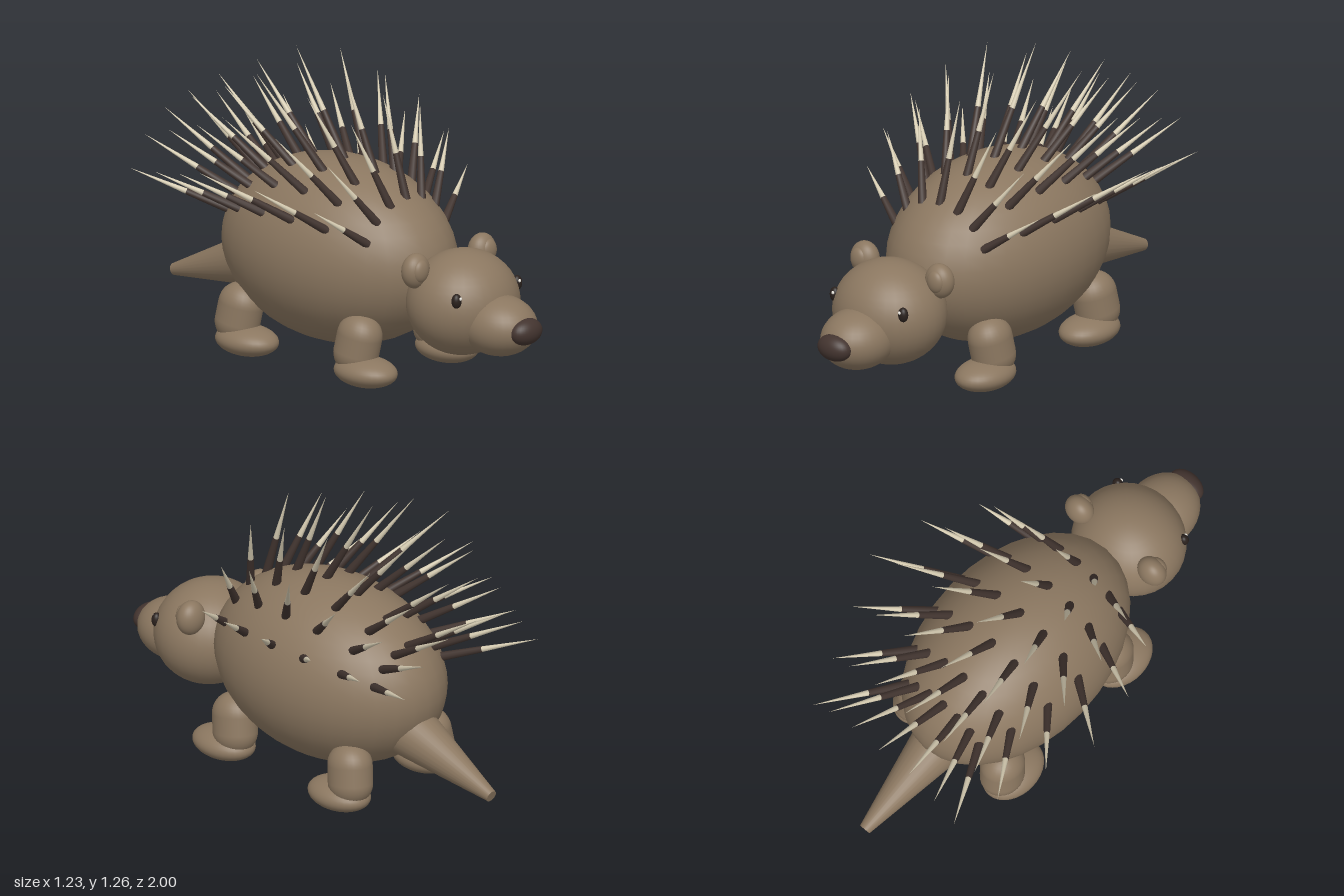
import * as THREE from 'three';

const rad = THREE.MathUtils.degToRad;

export function createModel() {
  const model = new THREE.Group();
  model.name = 'porcupine';

  const mat = (name, color) => {
    const m = new THREE.MeshStandardMaterial({ color });
    m.name = name;
    return m;
  };
  const fur = mat('brown fur', 0x8b7760);
  const dark = mat('dark quill base', 0x41342f);
  const pale = mat('pale quill tip', 0xd6ccb2);
  const noseMat = mat('nose', 0x43342f);
  const eyeMat = mat('eye', 0x2a211d);
  const glint = mat('eye glint', 0xf4f0e8);

  const add = (name, geometry, material, pos, parent = model) => {
    const mesh = new THREE.Mesh(geometry, material);
    mesh.name = name;
    mesh.position.set(...pos);
    parent.add(mesh);
    return mesh;
  };
  const ball = (name, material, pos, radii, parent) => {
    const mesh = add(name, new THREE.SphereGeometry(1, 32, 22), material, pos, parent);
    mesh.scale.set(...radii);
    return mesh;
  };

  // Body, head and muzzle
  const C = { y: 0.465, z: -0.08 };
  const R = { x: 0.37, y: 0.385, z: 0.555 };
  ball('body', fur, [0, C.y, C.z], [R.x, R.y, R.z]);
  ball('head', fur, [0, 0.375, 0.6], [0.24, 0.217, 0.225]);
  ball('snout', fur, [0, 0.315, 0.795], [0.146, 0.125, 0.17]);
  ball('nose', noseMat, [0, 0.317, 0.945], [0.08, 0.055, 0.053]);

  // Tail: blunt cone sloping down and back
  const tailRoot = new THREE.Vector3(0, 0.325, -0.53);
  const tailEnd = new THREE.Vector3(0, 0.185, -0.99);
  const tailDir = tailEnd.clone().sub(tailRoot);
  const tail = add('tail', new THREE.CylinderGeometry(0.025, 0.115, tailDir.length(), 28), fur,
    tailRoot.clone().add(tailEnd).multiplyScalar(0.5).toArray());
  tail.quaternion.setFromUnitVectors(new THREE.Vector3(0, 1, 0), tailDir.normalize());

  // Paired parts
  for (const [side, s] of [['left', 1], ['right', -1]]) {
    ball(side + 'Ear', fur, [s * 0.197, 0.53, 0.52], [0.065, 0.073, 0.052]);
    ball(side + 'InnerEar', fur, [s * 0.202, 0.535, 0.552], [0.041, 0.048, 0.027]);
    ball(side + 'Eye', eyeMat, [s * 0.18, 0.44, 0.73], [0.022, 0.031, 0.02]);
    ball(side + 'EyeGlint', glint, [s * 0.176, 0.452, 0.748], [0.007, 0.007, 0.005]);

    for (const [end, z] of [['Front', 0.235], ['Back', -0.418]]) {
      const leg = add(side + end + 'Leg', new THREE.CapsuleGeometry(0.097, 0.08, 10, 28), fur,
        [s * 0.232, 0.17, z]);
      leg.scale.set(0.9, 0.94, 1);
      leg.rotation.set(0.15, 0, s * 0.12);
      ball(side + end + 'Foot', fur, [s * 0.242, 0.068, z + 0.052], [0.108, 0.062, 0.146]);
    }
  }

  // Quill: dark lower shaft and pale pointed tip
  const makeQuill = (name, base, dir, length) => {
    const quill = new THREE.Group();
    quill.name = name;
    const r = 0.019, split = 0.44;
    const low = length * split, high = length - low;
    add('quillShaft', new THREE.CylinderGeometry(r * 0.68, r, low, 10), dark, [0, low / 2, 0], quill);
    add('quillTip', new THREE.ConeGeometry(r * 0.62, high, 10), pale, [0, low + high / 2, 0], quill);
    quill.position.copy(base);
    quill.quaternion.setFromUnitVectors(new THREE.Vector3(0, 1, 0), dir);
    model.add(quill);
  };

  // Rows across the back: z, backward tilt, middle length, outermost length
  const rows = [
    [0.28, 17, 0.42, 0.28],
    [0.11, 23, 0.42, 0.36],
    [-0.06, 32, 0.49, 0.43],
    [-0.23, 43, 0.45, 0.37],
    [-0.40, 51, 0.45, 0.37],
    [-0.52, 57, 0.47, 0.43],
  ];
  rows.forEach(([z, tilt, mid, outer], i) => {
    const ring = Math.sqrt(1 - ((z - C.z) / R.z) ** 2);
    for (let k = -3; k <= 3; k++) {
      const around = rad(20 * k), lean = rad(18 * k), t = rad(tilt);
      const base = new THREE.Vector3(
        R.x * ring * Math.sin(around), C.y + R.y * ring * Math.cos(around), z);
      const dir = new THREE.Vector3(
        Math.sin(lean) * Math.cos(t), Math.cos(lean) * Math.cos(t), -Math.sin(t));
      base.addScaledVector(dir, -0.02);
      const length = THREE.MathUtils.lerp(mid, outer, Math.abs(k) / 3) + 0.02;
      makeQuill(`quillRow${i + 1}Number${k + 4}`, base, dir, length);
    }
  });

  return model;
}
